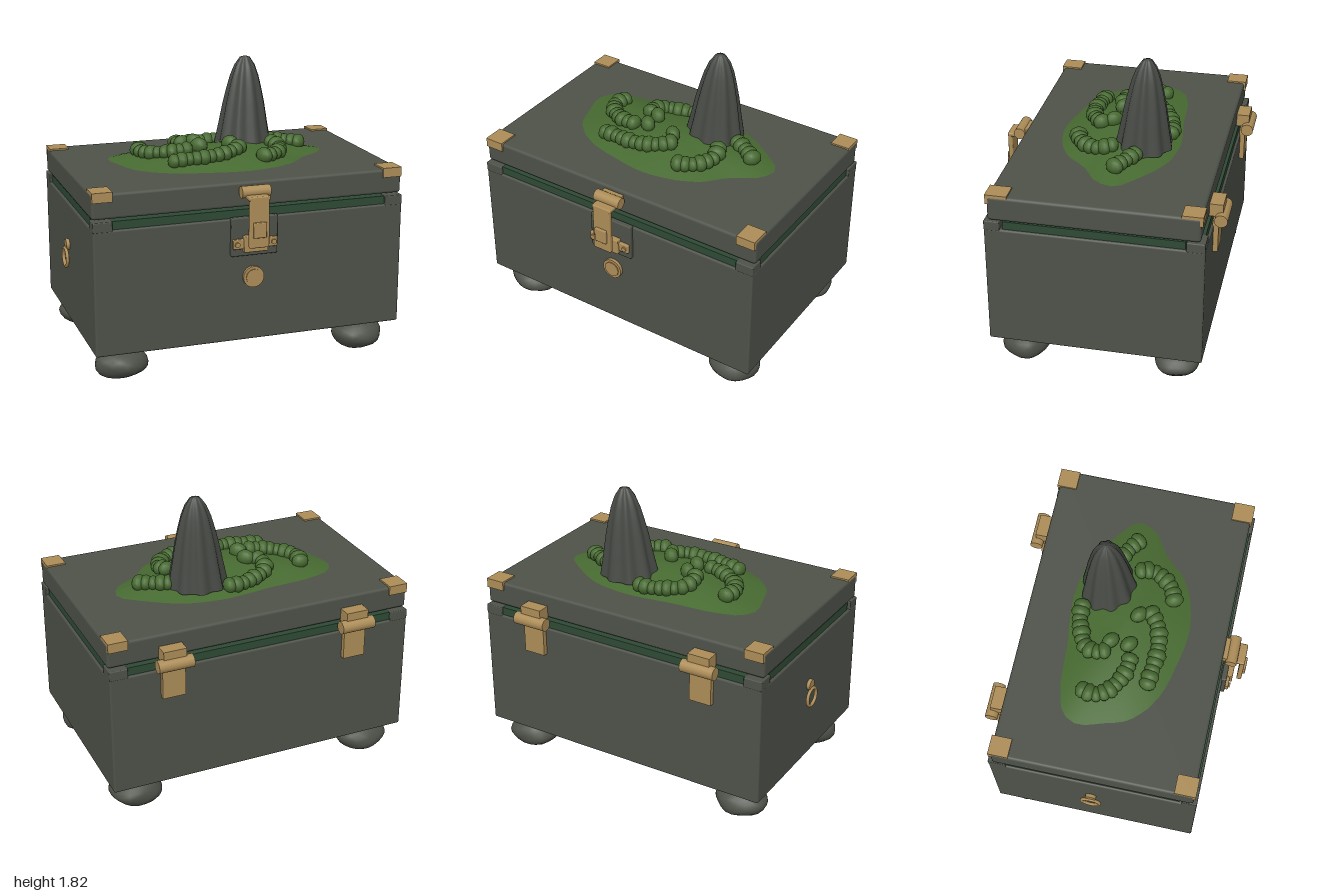
import * as THREE from 'three';
import { mergeVertices } from 'three/addons/utils/BufferGeometryUtils.js';
import { RoundedBoxGeometry } from 'three/addons/geometries/RoundedBoxGeometry.js';

const material = (name, color) => new THREE.MeshStandardMaterial({ name, color });

export function createModel() {
  const model = new THREE.Group();
  model.name = 'chest';
  const stone = material('grey green', 0x4e5249);
  const dark = material('dark stone', 0x474a45);
  const brass = material('brass', 0xad8d58);
  const slime = material('moss green', 0x476a31);
  const inner = material('deep green', 0x2f4a36);

  const add = (name, geometry, mat, x = 0, y = 0, z = 0) => {
    const mesh = new THREE.Mesh(geometry, mat);
    mesh.name = name;
    mesh.position.set(x, y, z);
    model.add(mesh);
    return mesh;
  };
  // Box given by its extents, with optionally rounded edges
  const box = (name, mat, x0, x1, y0, y1, z0, z1, r = 0) => {
    const size = [x1 - x0, y1 - y0, z1 - z0];
    const geometry = r ? new RoundedBoxGeometry(...size, 2, r) : new THREE.BoxGeometry(...size);
    return add(name, geometry, mat, (x0 + x1) / 2, (y0 + y1) / 2, (z0 + z1) / 2);
  };
  // Cylinder lying along the x or z axis
  const rod = (name, mat, r, length, axis, x, y, z, sides = 16) => {
    const geometry = new THREE.CylinderGeometry(r, r, length, sides);
    if (axis === 'x') geometry.rotateZ(Math.PI / 2);
    else geometry.rotateX(Math.PI / 2);
    return add(name, geometry, mat, x, y, z);
  };

  // Body, plinth and lid
  box('body', stone, -0.965, 0.995, 0.225, 1.0, -0.675, 0.63, 0.012);
  box('plinth', stone, -0.885, 0.915, 0.19, 0.235, -0.58, 0.54, 0.01);
  box('lid', stone, -0.965, 0.995, 1.06, 1.215, -0.648, 0.605, 0.018);

  // Inner rim and its corner blocks
  box('rimFront', inner, -0.85, 0.885, 0.995, 1.05, 0.53, 0.615);
  box('rimBack', inner, -0.85, 0.885, 0.995, 1.05, -0.66, -0.57);
  box('rimLeft', inner, 0.89, 0.98, 0.995, 1.05, -0.56, 0.52);
  box('rimRight', inner, -0.95, -0.86, 0.995, 1.05, -0.56, 0.52);
  for (const [x0, x1] of [[-0.965, -0.847], [0.88, 0.995]]) {
    for (const [z0, z1] of [[0.535, 0.63], [-0.675, -0.565]]) {
      box('rimCorner', stone, x0, x1, 0.99, 1.052, z0, z1, 0.006);
    }
  }

  // Brass lid corners: a top plate and a flange folded over the edge
  for (const [x0, x1] of [[-0.962, -0.84], [0.87, 0.992]]) {
    box('cornerPlate', brass, x0, x1, 1.205, 1.225, 0.483, 0.615);
    box('cornerFlange', brass, x0, x1, 1.165, 1.22, 0.59, 0.614);
    box('cornerPlate', brass, x0, x1, 1.205, 1.225, -0.66, -0.535);
    box('cornerFlange', brass, x0, x1, 1.165, 1.22, -0.659, -0.635);
  }

  // Lumpy feet
  const foot = (x, z, seed) => {
    let geometry = new THREE.IcosahedronGeometry(1, 3);
    geometry.deleteAttribute('uv');
    geometry.deleteAttribute('normal');
    geometry = mergeVertices(geometry, 1e-4);
    const p = geometry.attributes.position;
    for (let i = 0; i < p.count; i++) {
      const [a, b, c] = [p.getX(i), p.getY(i), p.getZ(i)];
      const k = 1 + 0.05 * Math.sin(3 * a + seed) * Math.cos(4 * c + 2 * seed) + 0.03 * Math.sin(5 * b + 3 * a + seed);
      p.setXYZ(i, a * k * 0.165, b * k * 0.095, c * k * 0.145);
    }
    geometry.computeVertexNormals();
    geometry.computeBoundingBox();
    add('foot', geometry, stone, x, 0.205 - geometry.boundingBox.max.y, z);
  };
  foot(-0.77, 0.455, 1);
  foot(0.797, 0.455, 2.3);
  foot(-0.77, -0.505, 3.7);
  foot(0.797, -0.505, 5.1);

  // Back hinges
  for (const x of [-0.581, 0.61]) {
    rod('hingeBarrel', brass, 0.04, 0.22, 'x', x, 1.05, -0.722);
    box('hingeUpperLeaf', brass, x - 0.072, x + 0.072, 1.06, 1.14, -0.73, -0.645);
    box('hingeLowerLeaf', brass, x - 0.072, x + 0.072, 0.82, 1.03, -0.705, -0.67);
  }

  // Front latch
  box('latchBackplate', stone, -0.13, 0.163, 0.77, 1.01, 0.62, 0.655, 0.008);
  box('latchMount', brass, -0.055, 0.085, 1.145, 1.19, 0.595, 0.65);
  rod('latchBarrel', brass, 0.036, 0.18, 'x', 0.015, 1.168, 0.66);
  box('latchArm', brass, -0.052, 0.082, 1.13, 1.155, 0.66, 0.745, 0.008);
  box('hasp', brass, -0.047, 0.077, 0.84, 1.15, 0.715, 0.745, 0.008);
  box('haspPad', brass, -0.027, 0.055, 0.905, 1.0, 0.735, 0.76, 0.006);
  box('keeper', brass, -0.06, 0.09, 0.8, 0.9, 0.65, 0.69, 0.006);
  box('keeperFlange', brass, -0.125, 0.155, 0.82, 0.88, 0.65, 0.675, 0.006);
  for (const x of [-0.1, 0.13]) rod('keeperScrew', brass, 0.016, 0.02, 'z', x, 0.85, 0.675, 10);

  // Round boss under the latch
  rod('bossRim', brass, 0.066, 0.03, 'z', 0.015, 0.63, 0.635, 20);
  rod('boss', brass, 0.05, 0.03, 'z', 0.015, 0.63, 0.641, 12);

  // Ring handle on the right side
  rod('ringMount', brass, 0.035, 0.03, 'x', -0.972, 0.732, -0.035, 12);
  const ring = add('ringHandle', new THREE.TorusGeometry(0.058, 0.011, 8, 24), brass, -0.988, 0.65, -0.035);
  ring.rotation.y = Math.PI / 2;

  // Mound on the lid: a disc stretched to an irregular outline and raised
  const centre = [0.03, -0.01];
  const outline = new THREE.CatmullRomCurve3([
    [-0.69, -0.18], [-0.64, -0.28], [-0.5, -0.335], [-0.2, -0.36], [0.15, -0.395], [0.4, -0.35],
    [0.6, -0.23], [0.75, -0.09], [0.7, 0.04], [0.56, 0.13], [0.4, 0.29], [0.12, 0.38],
    [-0.15, 0.355], [-0.45, 0.26], [-0.6, 0.12], [-0.65, -0.03],
  ].map(([x, z]) => new THREE.Vector3(x - centre[0], 0, z - centre[1])), true).getPoints(400);
  const reach = (x, z) => {
    let best = -2, radius = 1;
    for (const q of outline) {
      const cos = (q.x * x + q.z * z) / q.length() / (Math.hypot(x, z) || 1);
      if (cos > best) { best = cos; radius = q.length(); }
    }
    return radius;
  };
  const rise = (t) => 1.21 + 0.092 * (1 - Math.pow(t, 1.7));
  const moundGeometry = new THREE.RingGeometry(0.001, 1, 72, 10);
  const mp = moundGeometry.attributes.position;
  for (let i = 0; i < mp.count; i++) {
    const x = mp.getX(i), z = -mp.getY(i), r = reach(x, z);
    mp.setXYZ(i, centre[0] + x * r, rise(Math.min(1, Math.hypot(x, z))), centre[1] + z * r);
  }
  moundGeometry.computeVertexNormals();
  add('mound', moundGeometry, slime);
  const moundHeight = (x, z) => {
    const a = x - centre[0], b = z - centre[1];
    return rise(Math.min(1, Math.hypot(a, b) / reach(a, b)));
  };

  // Beaded tendrils curling over the mound
  const bead = new THREE.SphereGeometry(1, 12, 8);
  const addBead = (x, z, r, turn) => {
    const mesh = add('tendrilBead', bead, slime, x, moundHeight(x, z) + 0.022, z);
    mesh.scale.set(r * 0.8, r * 0.9, r * 1.05);
    mesh.rotation.y = turn;
  };
  const tendril = (points, tip) => {
    const curve = new THREE.CatmullRomCurve3(points.map(([x, z]) => new THREE.Vector3(x, 0, z)));
    const n = Math.round(curve.getLength() / 0.046);
    for (let i = 0; i <= n; i++) {
      const p = curve.getPointAt(i / n), t = curve.getTangentAt(i / n);
      addBead(p.x, p.z, 0.052 + 0.005 * Math.sin(i * 2.1), Math.atan2(-t.z, t.x));
    }
    if (tip) addBead(tip[0], tip[1], 0.056, 0.8);
  };
  tendril([[-0.46, -0.19], [-0.475, -0.11], [-0.43, -0.03], [-0.36, 0.02], [-0.29, 0.05], [-0.22, 0.055]], [-0.13, 0.03]);
  tendril([[0.08, -0.31], [0, -0.31], [-0.09, -0.28], [-0.18, -0.24], [-0.215, -0.17], [-0.2, -0.11]], [-0.13, -0.085]);
  tendril([[-0.34, 0.19], [-0.25, 0.2], [-0.14, 0.21], [-0.04, 0.2], [0.05, 0.165], [0.1, 0.12]], [0.07, 0.05]);
  tendril([[0.37, 0.0], [0.39, 0.07], [0.35, 0.16], [0.3, 0.21], [0.23, 0.24]]);
  tendril([[0.42, -0.15], [0.5, -0.11], [0.575, -0.06]]);

  // Fluted horn
  const profile = [[0.19, 1.25], [0.182, 1.29], [0.158, 1.41], [0.138, 1.52], [0.115, 1.62], [0.094, 1.7], [0.067, 1.77], [0.033, 1.82], [0, 1.83]];
  const horn = new THREE.LatheGeometry(profile.map(([r, y]) => new THREE.Vector2(r, y)), 72);
  const hp = horn.attributes.position;
  for (let i = 0; i < hp.count; i++) {
    const x = hp.getX(i), z = hp.getZ(i), y = hp.getY(i);
    const k = 0.95 + 0.06 * Math.cos(9 * Math.atan2(z, x));
    const lean = (y - 1.25) * 0.03;
    hp.setXYZ(i, x * k + lean, y, z * k * 0.93 - lean);
  }
  horn.computeVertexNormals();
  add('horn', horn, dark, 0.237, 0, -0.175);

  return model;
}
